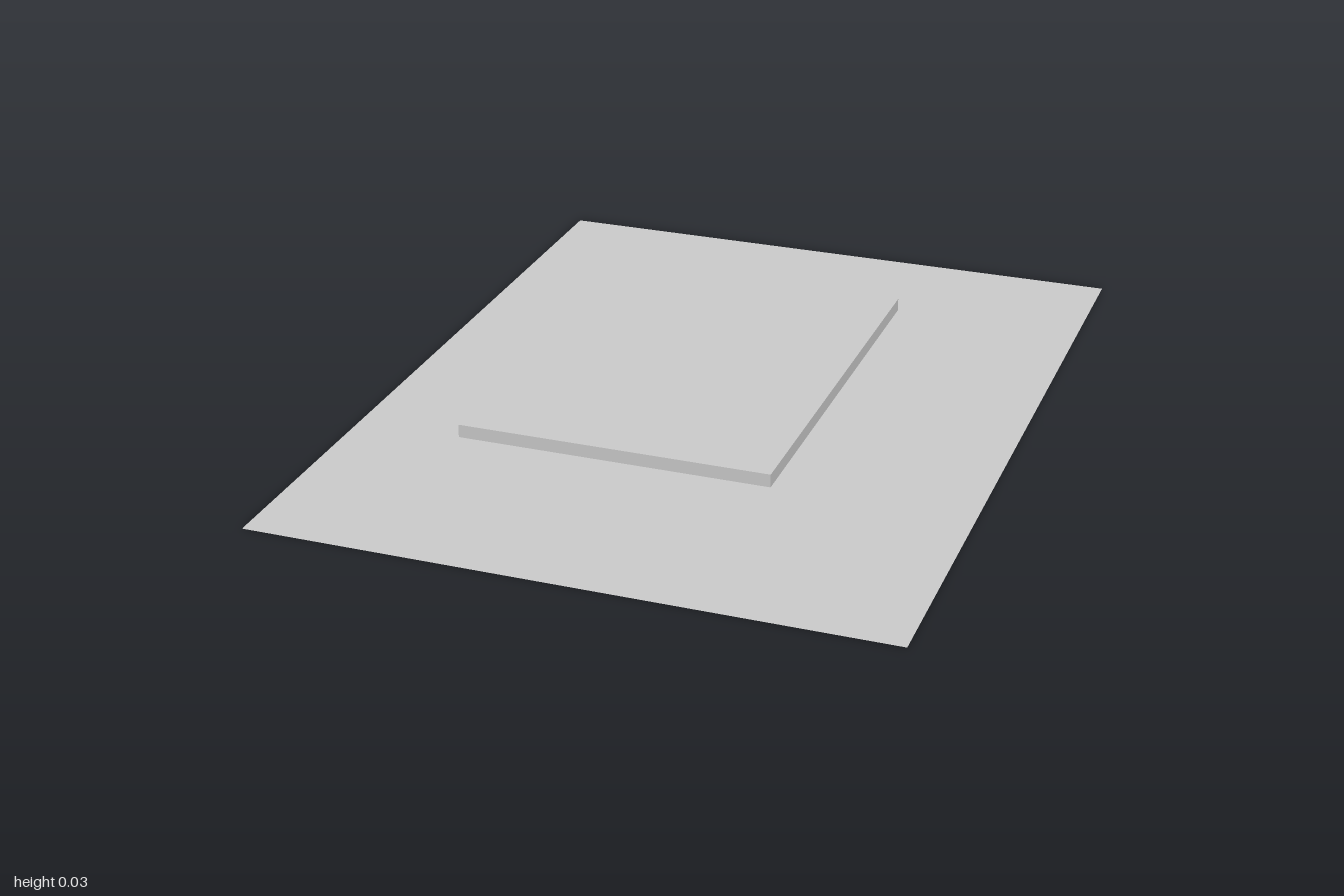
import * as THREE from 'three';

const HALF_W = 0.77, HALF_D = 1;
const X0 = -0.506, X1 = 0.283, Z0 = -0.672, Z1 = 0.418;
const HEIGHT = 0.033, COLS = 4, ROWS = 6;

export function createModel() {
  const model = new THREE.Group();
  const material = new THREE.MeshStandardMaterial({
    color: 0xcccccc, flatShading: true, side: THREE.DoubleSide,
  });
  const add = (parent, name, geometry, x = 0, y = 0, z = 0) => {
    const mesh = new THREE.Mesh(geometry, material);
    mesh.name = name;
    mesh.position.set(x, y, z);
    parent.add(mesh);
  };
  const rectangle = (path, x0, x1, y0, y1) =>
    path.moveTo(x0, y0).lineTo(x1, y0).lineTo(x1, y1).lineTo(x0, y1).closePath();

  // Flat ground sheet, open beneath the raised block
  const outline = new THREE.Shape();
  rectangle(outline, -HALF_W, HALF_W, -HALF_D, HALF_D);
  const opening = new THREE.Path();
  rectangle(opening, X0, X1, -Z1, -Z0);
  outline.holes.push(opening);
  add(model, 'groundSheet', new THREE.ShapeGeometry(outline).rotateX(-Math.PI / 2));

  // Raised block of hollow cells
  const block = new THREE.Group();
  block.name = 'raisedCells';
  model.add(block);
  const width = X1 - X0, depth = Z1 - Z0;
  const midX = (X0 + X1) / 2, midZ = (Z0 + Z1) / 2;

  // Cell roofs
  add(block, 'cellRoofs',
    new THREE.PlaneGeometry(width, depth, COLS, ROWS).rotateX(-Math.PI / 2), midX, HEIGHT, midZ);

  // Thin walls running along z; the first one faces outward to -x
  for (let i = 0; i <= COLS; i++) {
    const turn = i === 0 ? -Math.PI / 2 : Math.PI / 2;
    add(block, 'lengthwiseWall', new THREE.PlaneGeometry(depth, HEIGHT).rotateY(turn),
      X0 + (width * i) / COLS, HEIGHT / 2, midZ);
  }

  // Thin walls running along x; the first one faces outward to -z
  for (let j = 0; j <= ROWS; j++) {
    const turn = j === 0 ? Math.PI : 0;
    add(block, 'crosswiseWall', new THREE.PlaneGeometry(width, HEIGHT).rotateY(turn),
      midX, HEIGHT / 2, Z0 + (depth * j) / ROWS);
  }
  return model;
}
